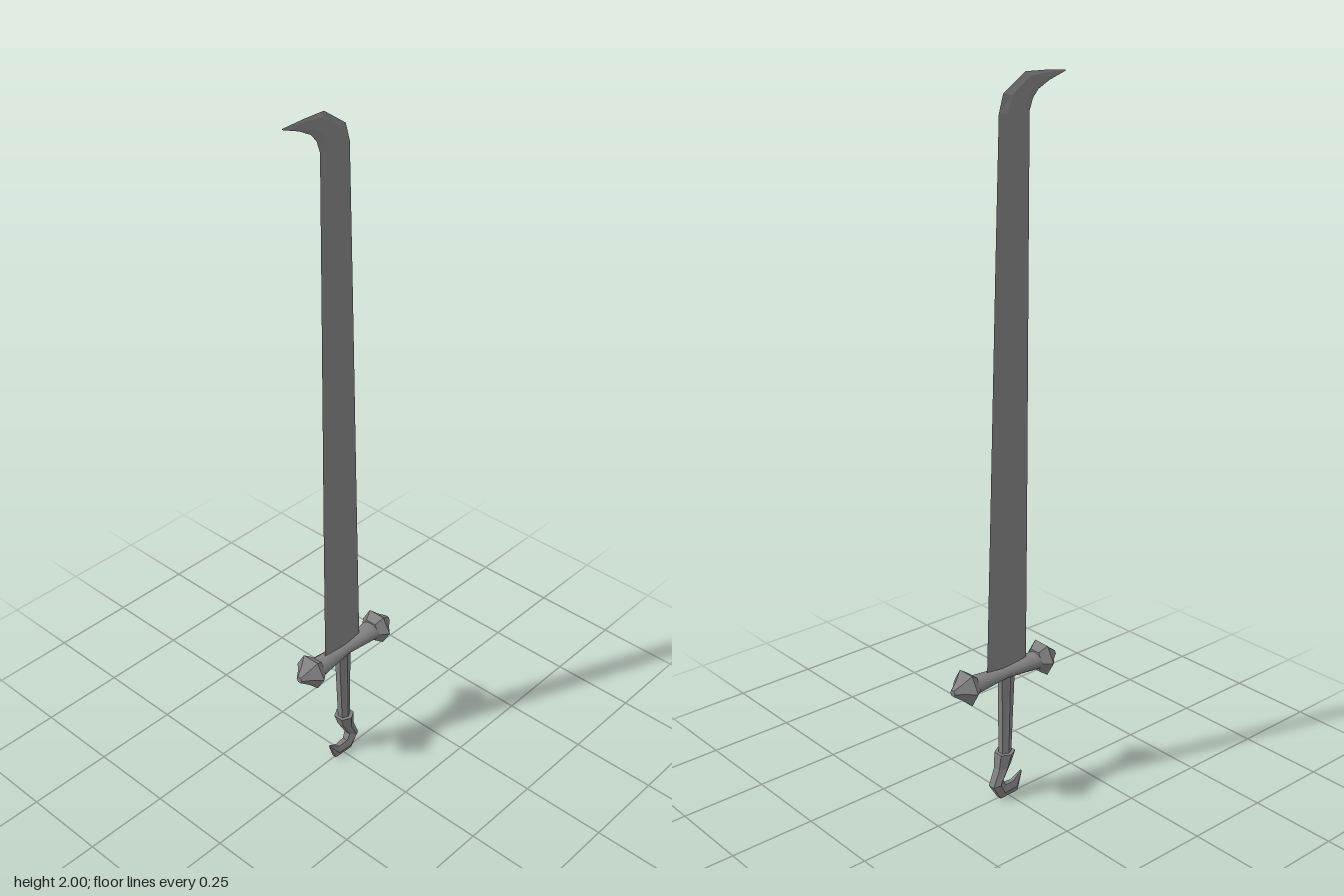
import * as THREE from 'three';

const flat = new THREE.MeshStandardMaterial({ color: 0x808080, flatShading: true, side: THREE.DoubleSide });
const smooth = new THREE.MeshStandardMaterial({ color: 0x808080 });

// Skins polygonal cross-sections [ax, ay, bx, by, halfDepth]: a and b are the two edges in the xy plane.
// turn rotates the polygon, so that flats instead of corners can face a and b.
function loft(name, sections, sides, turn = 0) {
  const pos = [], index = [];
  for (const [ax, ay, bx, by, t] of sections) {
    for (let j = 0; j < sides; j++) {
      const ang = (j / sides) * Math.PI * 2 + turn;
      const k = (1 + Math.cos(ang) / Math.cos(turn)) / 2;
      pos.push(ax + (bx - ax) * k, ay + (by - ay) * k, Math.sin(ang) * t);
    }
  }
  for (let i = 0; i < sections.length - 1; i++) {
    for (let j = 0; j < sides; j++) {
      const p = i * sides + j, p1 = i * sides + (j + 1) % sides;
      index.push(p, p + sides, p1, p1, p + sides, p1 + sides);
    }
  }
  // End caps
  const last = (sections.length - 1) * sides;
  for (let j = 1; j < sides - 1; j++) {
    index.push(0, j, j + 1, last, last + j + 1, last + j);
  }
  const geo = new THREE.BufferGeometry();
  geo.setAttribute('position', new THREE.Float32BufferAttribute(pos, 3));
  geo.setIndex(index);
  geo.computeVertexNormals();
  const mesh = new THREE.Mesh(geo, flat);
  mesh.name = name;
  return mesh;
}

// Turned part; profile points are [radius, distance along the axis]
function turned(name, profile, sides, material) {
  const geo = new THREE.LatheGeometry(profile.map(([r, d]) => new THREE.Vector2(r, d)), sides);
  const mesh = new THREE.Mesh(geo, material);
  mesh.name = name;
  return mesh;
}

export function createModel() {
  const model = new THREE.Group();
  model.name = 'sword';

  // Long tapering blade with a hooked tip
  model.add(loft('blade', [
    [-0.07, 0.39, 0.072, 0.39, 0.002],
    [-0.072, 0.85, 0.058, 0.85, 0.005],
    [-0.073, 1.53, 0.038, 1.53, 0.008],
    [-0.074, 1.905, 0.026, 1.905, 0.009],
    [-0.085, 1.935, 0.012, 1.952, 0.008],
    [-0.103, 1.955, -0.06, 2.0, 0.006],
    [-0.14, 1.974, -0.125, 1.999, 0.003],
    [-0.193, 1.992, -0.193, 1.995, 0.0005],
  ], 6));

  // Waisted crossguard with a faceted finial at each end
  const guard = new THREE.Group();
  guard.name = 'crossguard';
  const bar = turned('guardBar', [[0.033, -0.115], [0.026, -0.05], [0.021, 0], [0.026, 0.05], [0.033, 0.115]], 12, smooth);
  bar.rotation.z = Math.PI / 2;
  bar.scale.x = 0.74;
  guard.add(bar);
  for (const side of [-1, 1]) {
    const finial = turned(side > 0 ? 'leftFinial' : 'rightFinial',
      [[0, 0.112], [0.033, 0.112], [0.052, 0.137], [0.03, 0.158], [0.01, 0.184], [0, 0.184]], 6, flat);
    finial.rotation.z = -side * Math.PI / 2;
    guard.add(finial);
  }
  guard.position.set(0.009, 0.39, 0);
  model.add(guard);

  // Slim grip
  model.add(loft('grip', [
    [-0.008, 0.12, 0.024, 0.12, 0.017],
    [-0.021, 0.39, 0.025, 0.39, 0.018],
  ], 6, Math.PI / 6));

  // Hooked pommel, from the point of the hook up to its collar
  model.add(loft('pommel', [
    [-0.053, 0.057, -0.055, 0.053, 0.003],
    [-0.018, 0.036, -0.034, 0.001, 0.013],
    [0.012, 0.038, 0.03, 0, 0.017],
    [0.022, 0.058, 0.058, 0.045, 0.021],
    [-0.006, 0.107, 0.038, 0.095, 0.023],
    [-0.018, 0.142, 0.034, 0.142, 0.029],
  ], 6, Math.PI / 6));

  return model;
}
